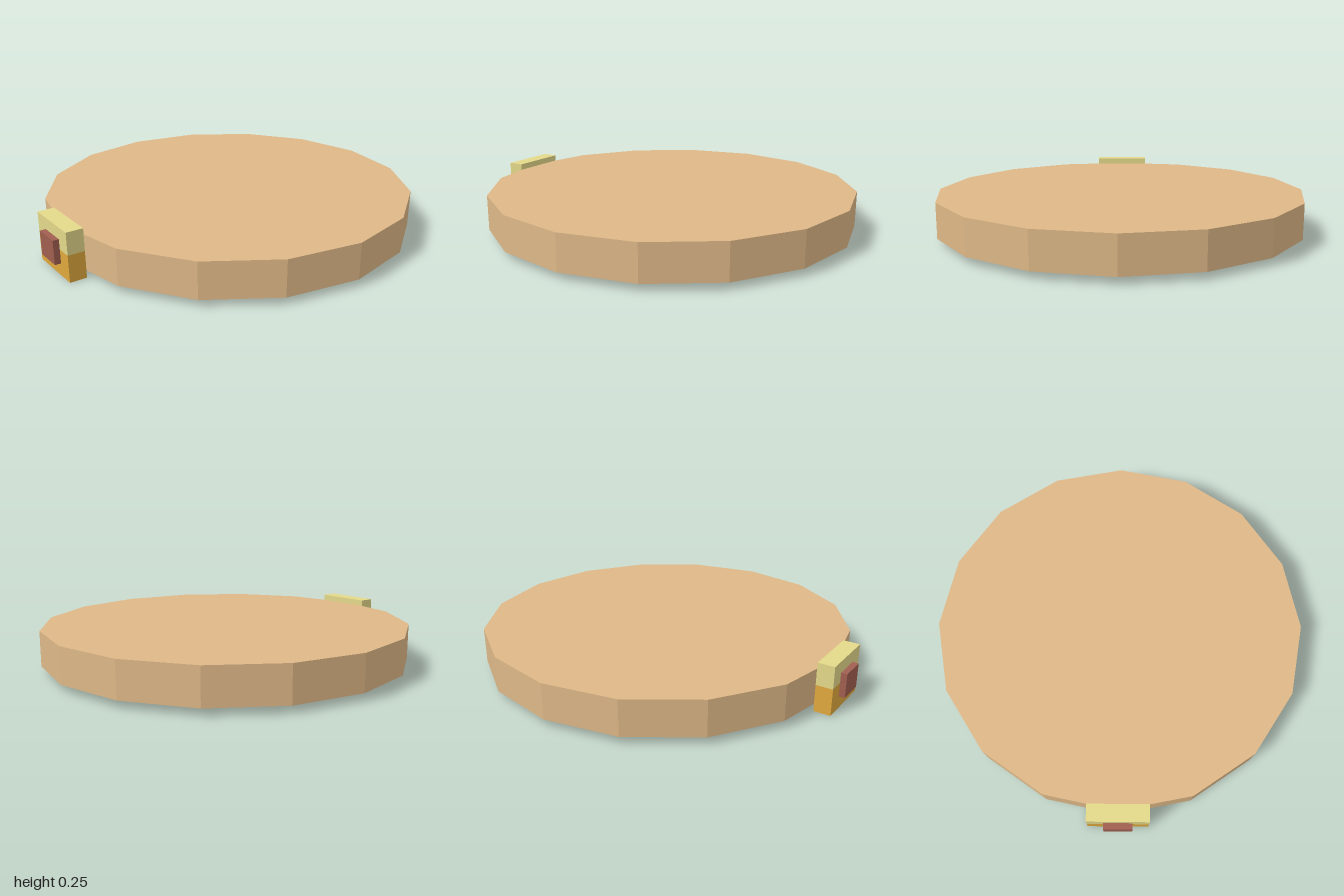
import * as THREE from 'three';

const material = (name, color) => {
  const m = new THREE.MeshStandardMaterial({ color });
  m.name = name;
  return m;
};

export function createModel() {
  const tan = material('tan', 0xdeb887);
  const khaki = material('khaki', 0xe4d98a);
  const gold = material('gold', 0xe0a83c);
  const brown = material('reddish brown', 0xa05f50);

  const model = new THREE.Group();
  model.name = 'roundPlateWithClasp';

  const add = (name, geometry, mat, x, y, z) => {
    const mesh = new THREE.Mesh(geometry, mat);
    mesh.name = name;
    mesh.position.set(x, y, z);
    model.add(mesh);
  };
  // Box given by its width and its y and z ranges, centred on x
  const addBox = (name, mat, width, y0, y1, z0, z1) =>
    add(name, new THREE.BoxGeometry(width, y1 - y0, z1 - z0), mat, 0, (y0 + y1) / 2, (z0 + z1) / 2);

  // Sixteen-sided flat disc
  const disc = new THREE.CylinderGeometry(0.957, 0.957, 0.18, 16).toNonIndexed();
  disc.computeVertexNormals();
  add('disc', disc, tan, 0, 0.125, -0.043);

  // Two-tone clasp on the front rim, with a raised button
  addBox('claspUpper', khaki, 0.306, 0.135, 0.247, 0.886, 0.97);
  addBox('claspLower', gold, 0.306, 0, 0.135, 0.886, 0.97);
  addBox('button', brown, 0.142, 0.065, 0.186, 0.969, 1.0);

  return model;
}
